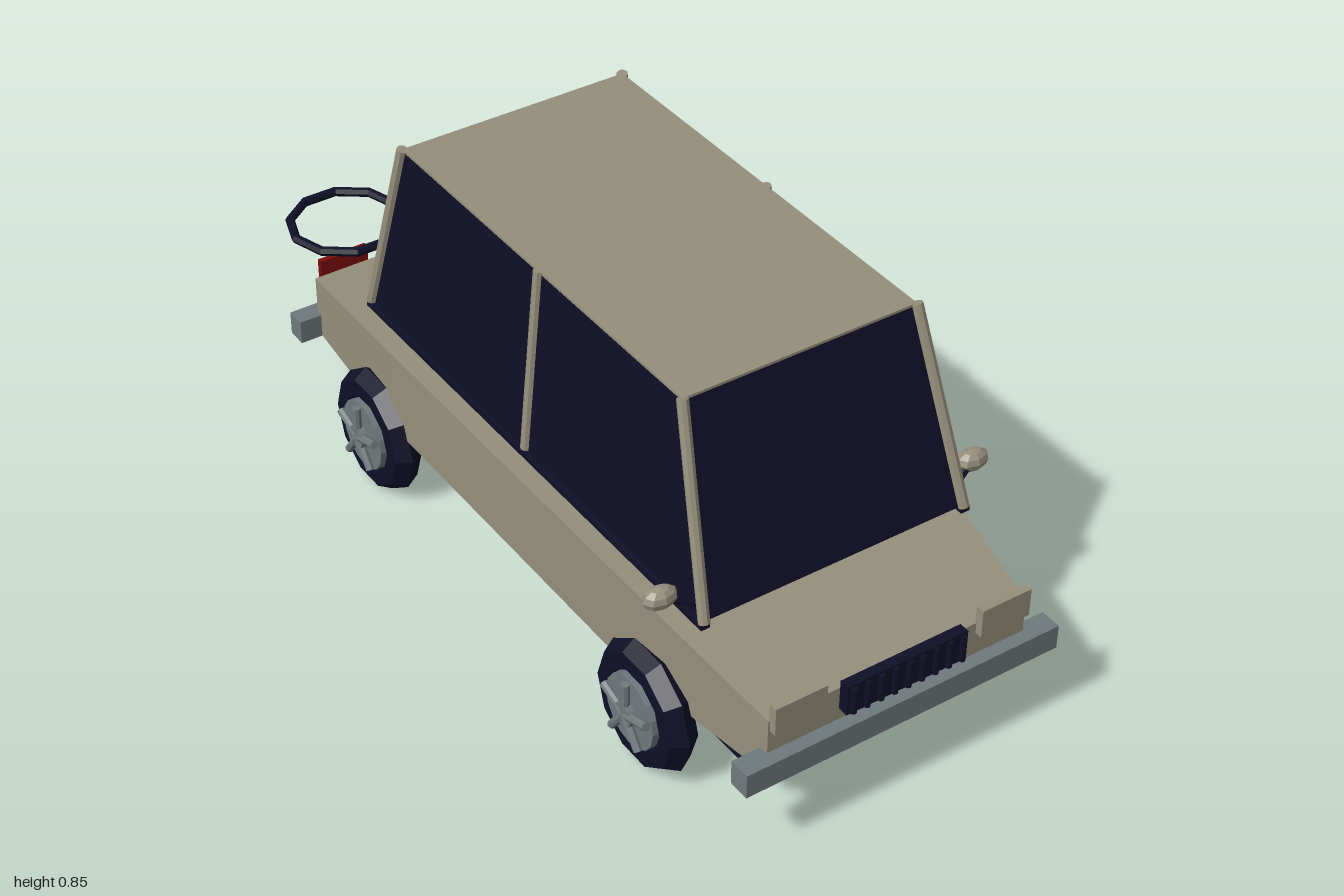
import * as THREE from 'three';

const mat = (name, color) => {
  const m = new THREE.MeshStandardMaterial({ color, flatShading: true });
  m.name = name;
  return m;
};

// Closed solid through four-cornered rings (counter-clockwise seen from the last ring's side)
function loft(rings) {
  const p = [];
  const quad = (a, b, c, d) => p.push(...a, ...b, ...c, ...a, ...c, ...d);
  for (let i = 0; i < rings.length - 1; i++) {
    for (let j = 0; j < 4; j++) {
      const k = (j + 1) % 4;
      quad(rings[i][j], rings[i][k], rings[i + 1][k], rings[i + 1][j]);
    }
  }
  quad(...rings[0].slice().reverse());
  quad(...rings[rings.length - 1]);
  const g = new THREE.BufferGeometry();
  g.setAttribute('position', new THREE.Float32BufferAttribute(p, 3));
  g.computeVertexNormals();
  return g;
}

export function createModel() {
  const car = new THREE.Group();
  car.name = 'car';
  const paint = mat('beige paint', 0x958f7c);
  const dark = mat('dark navy', 0x0f0f27);
  const metal = mat('grey metal', 0x6f797c);
  const red = mat('red lamp', 0x7c0c0a);

  const add = (name, geo, material, x = 0, y = 0, z = 0, parent = car) => {
    const m = new THREE.Mesh(geo, material);
    m.name = name;
    m.position.set(x, y, z);
    parent.add(m);
    return m;
  };
  // Box given by its limits on each axis
  const box = (name, material, x0, x1, y0, y1, z0, z1) =>
    add(name, new THREE.BoxGeometry(x1 - x0, y1 - y0, z1 - z0), material,
      (x0 + x1) / 2, (y0 + y1) / 2, (z0 + z1) / 2);
  // Round bar between two points
  const bar = (name, material, a, b, r, parent = car) => {
    const from = new THREE.Vector3(...a), to = new THREE.Vector3(...b);
    const dir = to.clone().sub(from);
    const mid = from.add(to).multiplyScalar(0.5);
    const m = add(name, new THREE.CylinderGeometry(r, r, dir.length(), 8), material,
      mid.x, mid.y, mid.z, parent);
    m.quaternion.setFromUnitVectors(new THREE.Vector3(0, 1, 0), dir.normalize());
    return m;
  };

  // Lower body: z, half width, top height
  const section = ([z, w, t]) => [[-w, 0.19, z], [w, 0.19, z], [w, t, z], [-w, t, z]];
  add('body', loft([[-0.76, 0.325, 0.338], [-0.36, 0.363, 0.395],
    [0.58, 0.363, 0.402], [0.965, 0.312, 0.328]].map(section)), paint);
  box('chassis', dark, -0.305, 0.305, 0.148, 0.189, -0.69, 0.9);

  // Cabin glass and roof
  const level = (y, w, z0, z1) => [[-w, y, z1], [w, y, z1], [w, y, z0], [-w, y, z0]];
  add('cabinGlass', loft([level(0.422, 0.315, -0.51, 0.755),
    level(0.845, 0.275, -0.41, 0.617)]), dark);
  add('roof', loft([level(0.845, 0.275, -0.41, 0.617),
    level(0.851, 0.275, -0.41, 0.617)]), paint);

  // Bumpers and grille
  box('frontBumper', metal, -0.38, 0.38, 0.19, 0.247, 0.945, 0.995);
  box('rearBumper', metal, -0.38, 0.38, 0.19, 0.247, -0.79, -0.742);
  box('grille', dark, -0.145, 0.145, 0.276, 0.347, 0.966, 0.99);
  for (let i = 0; i < 9; i++) {
    const x = -0.132 + i * 0.033;
    bar('grilleSlat', dark, [x, 0.28, 0.993], [x, 0.343, 0.993], 0.007);
  }

  for (const s of [1, -1]) {
    const span = (a, b) => (s > 0 ? [a, b] : [-b, -a]);

    // Pillars and side sills
    bar('frontPillar', paint, [s * 0.315, 0.42, 0.757], [s * 0.275, 0.851, 0.617], 0.0125);
    bar('middlePillar', paint, [s * 0.315, 0.425, 0.12], [s * 0.275, 0.851, 0.12], 0.0115);
    bar('rearPillar', paint, [s * 0.315, 0.42, -0.51], [s * 0.275, 0.851, -0.41], 0.0125);
    box('windowSill', dark, ...span(0.305, 0.326), 0.41, 0.422, -0.515, 0.763);

    // Lamps
    box('headlight', paint, ...span(0.187, 0.308), 0.302, 0.369, 0.962, 0.982);
    box('tailLight', red, ...span(0.187, 0.308), 0.303, 0.375, -0.775, -0.762);

    // Door mirror
    bar('mirrorArm', dark, [s * 0.308, 0.446, 0.725], [s * 0.365, 0.47, 0.705], 0.009);
    const shell = add('mirror', new THREE.SphereGeometry(1, 8, 6), paint, s * 0.378, 0.475, 0.7);
    shell.scale.set(0.039, 0.025, 0.025);

    // Flat ring behind the tail
    const ring = add('rearRing', new THREE.TorusGeometry(0.129, 0.011, 6, 10), dark,
      s * 0.185, 0.383, -0.864);
    ring.rotation.x = Math.PI / 2;

    // Wheels, with the group's local +x pointing outwards
    for (const z of [0.635, -0.427]) {
      const wheel = new THREE.Group();
      wheel.name = z > 0 ? 'frontWheel' : 'rearWheel';
      wheel.position.set(s * 0.361, 0.141, z);
      wheel.rotation.y = s > 0 ? 0 : Math.PI;
      car.add(wheel);
      const tyre = add('tyre', new THREE.TorusGeometry(0.11, 0.038, 6, 10), dark, 0, 0, 0, wheel);
      tyre.rotation.y = Math.PI / 2;
      const disc = (name, r, x0, x1) => {
        const m = add(name, new THREE.CylinderGeometry(r, r, x1 - x0, 16), metal,
          (x0 + x1) / 2, 0, 0, wheel);
        m.rotation.z = Math.PI / 2;
      };
      disc('rim', 0.083, -0.044, 0.043);
      disc('hub', 0.028, -0.051, 0.06);
      for (let i = 0; i < 5; i++) {
        const a = (i * Math.PI * 2) / 5;
        bar('spoke', metal, [0.053, 0, 0],
          [0.053, 0.079 * Math.cos(a), 0.079 * Math.sin(a)], 0.01, wheel);
      }
    }
  }
  return car;
}
